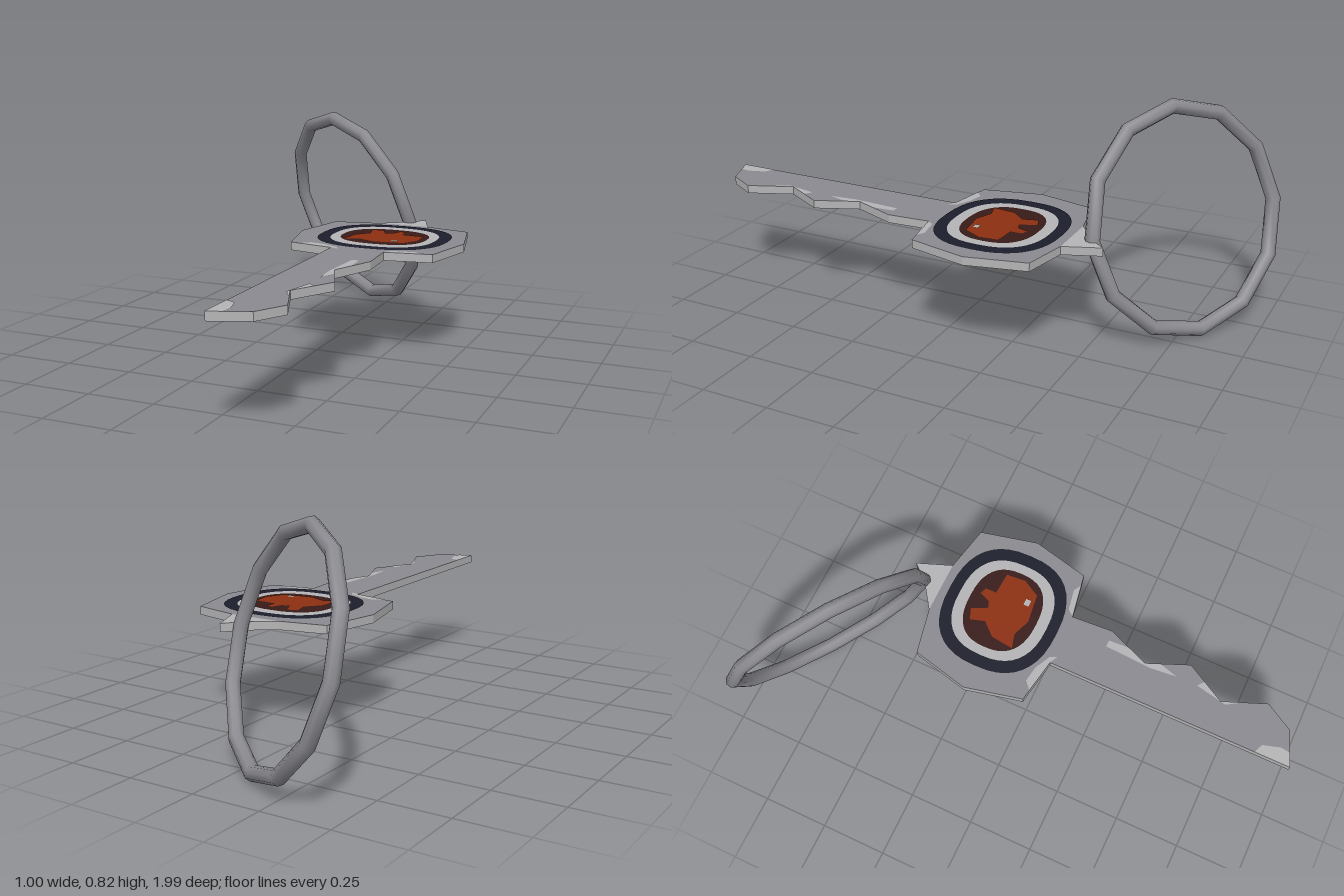
import * as THREE from 'three';

const mat = (name, color, side = THREE.FrontSide) => {
  const m = new THREE.MeshStandardMaterial({ color, side });
  m.name = name;
  return m;
};

const Y0 = 0.375, Y1 = 0.405; // bottom and top of the key plate

// Shape from [x, z] pairs; s = -1 when the result will be turned face up
const shapeOf = (pts, s) => new THREE.Shape(pts.map(([x, z]) => new THREE.Vector2(x, s * z)));

function addMesh(parent, name, geo, material) {
  const mesh = new THREE.Mesh(geo, material);
  mesh.name = name;
  parent.add(mesh);
  return mesh;
}

// Slab lying flat between Y0 and Y1
function slab(pts) {
  const geo = new THREE.ExtrudeGeometry(shapeOf(pts, -1), { depth: Y1 - Y0, bevelEnabled: false });
  return geo.rotateX(-Math.PI / 2).translate(0, Y0, 0);
}

// Painted face on both the upper and lower sides, lifted slightly off the plate
function paint(parent, name, pts, material, lift, holePts) {
  for (const up of [true, false]) {
    const s = up ? -1 : 1;
    const shape = shapeOf(pts, s);
    if (holePts) shape.holes.push(shapeOf(holePts, s));
    const geo = new THREE.ShapeGeometry(shape);
    geo.rotateX(s * Math.PI / 2).translate(0, up ? Y1 + lift : Y0 - lift, 0);
    addMesh(parent, name + (up ? 'Top' : 'Bottom'), geo, material);
  }
}

// Rounded-square outline around the emblem centre
function rounded(rx, rz, n = 40) {
  const pts = [];
  for (let i = 0; i < n; i++) {
    const a = (i / n) * Math.PI * 2, c = Math.cos(a), s = Math.sin(a), e = 0.8;
    pts.push([
      0.195 + rx * Math.sign(c) * Math.abs(c) ** e,
      -0.185 + rz * Math.sign(s) * Math.abs(s) ** e,
    ]);
  }
  return pts;
}

export function createModel() {
  const steel = mat('steel', 0x8b8a90);
  const lightSteel = mat('light steel', 0xb4b4b6);
  const navy = mat('navy', 0x1c1e2c);
  const maroon = mat('dark maroon', 0x381a18);
  const rust = mat('rust orange', 0x8c2f10);

  const model = new THREE.Group();
  model.name = 'keyWithRing';

  // Head and toothed blade in one outline
  const outline = [
    [-0.09, 0.03], [-0.14, -0.185], [-0.09, -0.4], [0.08, -0.435], [0.28, -0.435],
    [0.45, -0.4], [0.5, -0.185], [0.45, 0.03], [0.28, 0.06],
    [0.29, 0.215], [0.225, 0.375], [0.29, 0.53], [0.205, 0.68], [0.27, 0.84],
    [0.21, 0.945], [0.08, 0.995], [0.08, 0.06],
  ];
  addMesh(model, 'keyBody', slab(outline), [steel, lightSteel]);

  // Pointed tab that holds the ring
  addMesh(model, 'ringTab',
    slab([[0.08, -0.435], [0.18, -0.505], [0.23, -0.565], [0.28, -0.435]]), lightSteel);

  // Emblem bands and centre
  const emblem = new THREE.Group();
  emblem.name = 'emblem';
  model.add(emblem);
  paint(emblem, 'outerBand', rounded(0.243, 0.22), navy, 0.002, rounded(0.197, 0.178));
  paint(emblem, 'innerBand', rounded(0.197, 0.178), lightSteel, 0.002, rounded(0.162, 0.136));
  paint(emblem, 'centre', rounded(0.162, 0.136), maroon, 0.002);
  paint(emblem, 'splash', [
    [0.07, -0.09], [0.08, -0.175], [0.125, -0.225], [0.108, -0.28], [0.15, -0.296],
    [0.177, -0.238], [0.204, -0.248], [0.22, -0.29], [0.246, -0.28], [0.246, -0.238],
    [0.33, -0.233], [0.336, -0.16], [0.3, -0.095], [0.19, -0.08], [0.125, -0.105],
  ], rust, 0.004);
  paint(emblem, 'glint', [[0.245, -0.125], [0.27, -0.125], [0.27, -0.105], [0.245, -0.105]],
    lightSteel, 0.006);

  // Worn bright patches
  const patches = [
    [[0.08, 0.86], [0.115, 0.875], [0.135, 0.94], [0.13, 0.975], [0.08, 0.995]],
    [[0.225, 0.22], [0.25, 0.22], [0.255, 0.3], [0.225, 0.375], [0.245, 0.43], [0.225, 0.5], [0.215, 0.4]],
    [[0.225, 0.58], [0.25, 0.6], [0.205, 0.68], [0.235, 0.755], [0.2, 0.7]],
    [[-0.05, 0.037], [-0.02, 0.01], [0.04, 0.02], [0.1, 0.05], [0.11, 0.075], [0.08, 0.06]],
    [[0.28, 0.06], [0.3, 0.035], [0.38, 0.02], [0.41, 0.037]],
  ];
  patches.forEach((p, i) => paint(model, 'wornPatch' + (i + 1), p, lightSteel, 0.001));

  // Tilted twelve-sided key ring
  const up = new THREE.Vector3(-0.055, 0.38, 0.09).normalize();
  const normal = new THREE.Vector3(0.33, 0, 0.225).cross(up).normalize();
  const across = up.clone().cross(normal);
  const ring = addMesh(model, 'keyRing', new THREE.TorusGeometry(0.396, 0.027, 8, 12), steel);
  ring.quaternion.setFromRotationMatrix(new THREE.Matrix4().makeBasis(across, up, normal));
  ring.position.set(-0.145, 0.405, -0.73);

  return model;
}
